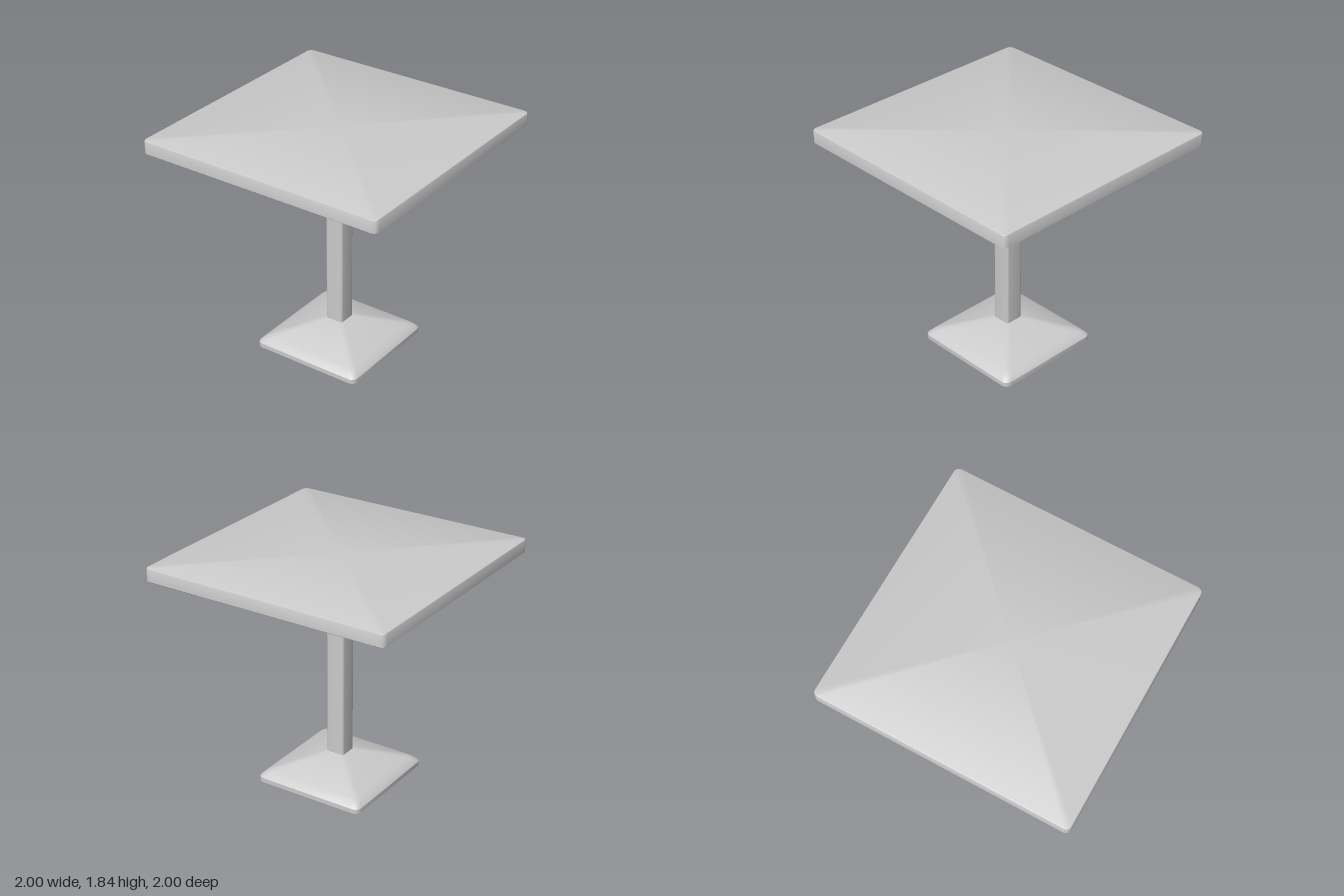
import * as THREE from 'three';
import { toCreasedNormals } from 'three/addons/utils/BufferGeometryUtils.js';

const CORNER_STEPS = 4;

// Outline of a square with rounded corners at height y
function roundedSquare(y, half, radius) {
  const points = [];
  for (let corner = 0; corner < 4; corner++) {
    const mid = (corner + 0.5) * Math.PI / 2;
    const cx = Math.sign(Math.cos(mid)) * (half - radius);
    const cz = Math.sign(Math.sin(mid)) * (half - radius);
    for (let s = 0; s <= CORNER_STEPS; s++) {
      const a = (corner + s / CORNER_STEPS) * Math.PI / 2;
      points.push([cx + radius * Math.cos(a), y, cz + radius * Math.sin(a)]);
    }
  }
  return points;
}

// Closed solid through sections [y, half width, corner radius], bottom to top
function loft(name, sections, material) {
  const first = sections[0], last = sections[sections.length - 1];
  const rings = [[first[0], 0, 0], ...sections, [last[0], 0, 0]].map((s) => roundedSquare(...s));
  const count = rings[0].length;
  const positions = [];
  for (let i = 0; i < rings.length - 1; i++) {
    for (let j = 0; j < count; j++) {
      const k = (j + 1) % count;
      const a = rings[i][j], b = rings[i + 1][j], c = rings[i][k], d = rings[i + 1][k];
      if (i > 0) positions.push(...a, ...b, ...c); // bottom cap needs one triangle only
      if (i < rings.length - 2) positions.push(...b, ...d, ...c);
    }
  }
  const geometry = new THREE.BufferGeometry();
  geometry.setAttribute('position', new THREE.Float32BufferAttribute(positions, 3));
  const mesh = new THREE.Mesh(toCreasedNormals(geometry, 0.6), material);
  mesh.name = name;
  return mesh;
}

export function createModel() {
  const group = new THREE.Group();
  group.name = 'pedestalTable';
  const grey = new THREE.MeshStandardMaterial({ color: 0xcccccc });

  // Flared foot: short upright rim, rounded shoulder, then a shallow pyramid
  group.add(loft('base', [
    [0, 0.457, 0.05],
    [0.035, 0.457, 0.05],
    [0.052, 0.443, 0.05],
    [0.07, 0.422, 0.05],
    [0.086, 0.395, 0.05],
    [0.205, 0.075, 0.02],
  ], grey));

  // Square post with softened edges
  group.add(loft('column', [
    [0.19, 0.075, 0.02],
    [1.74, 0.075, 0.02],
  ], grey));

  // Square top with lightly eased edges
  group.add(loft('tabletop', [
    [1.73, 0.994, 0.04],
    [1.735, 1, 0.04],
    [1.825, 1, 0.04],
    [1.832, 0.997, 0.04],
    [1.835, 0.99, 0.04],
  ], grey));

  return group;
}
